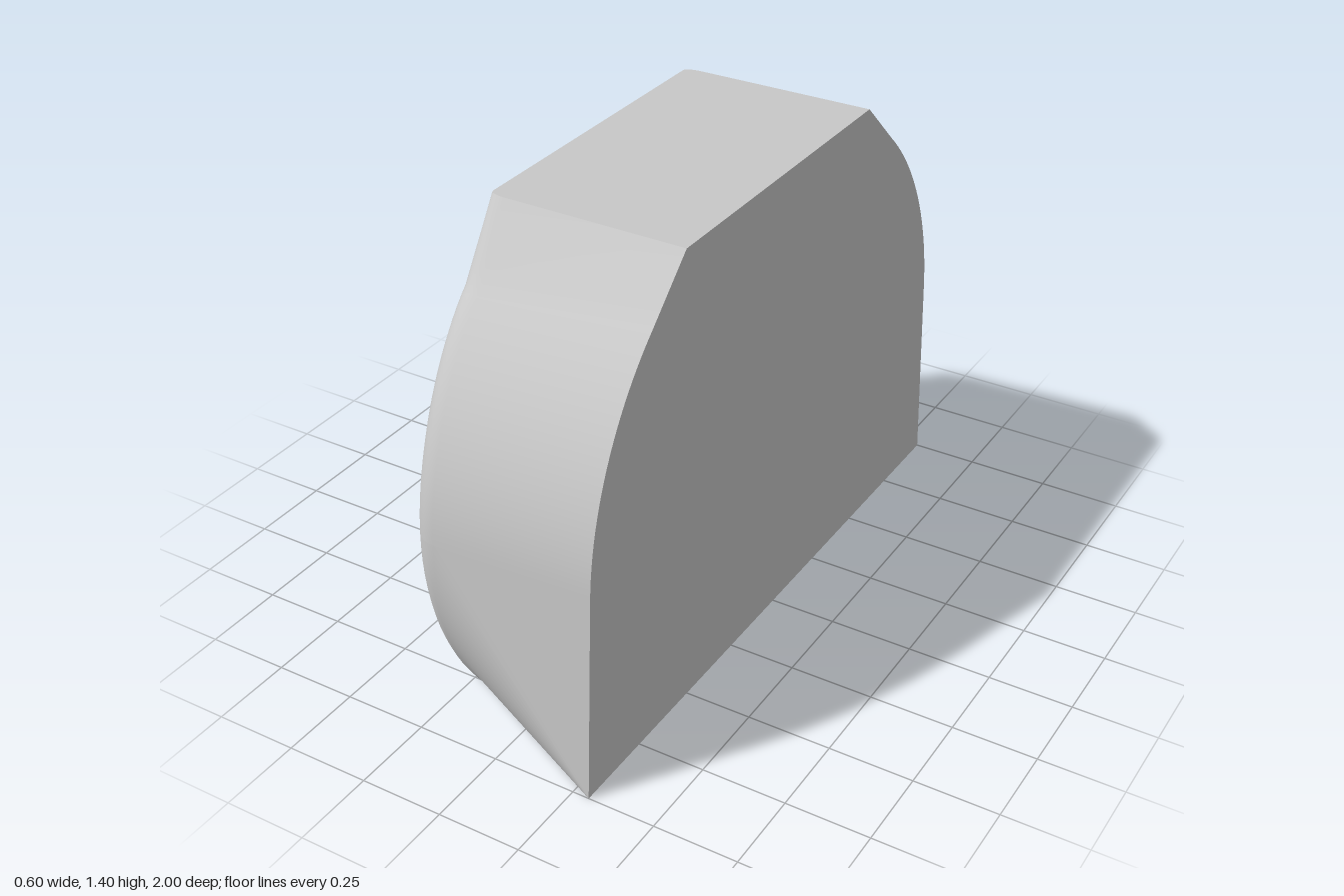
import * as THREE from 'three';

const H = 1.4;            // height
const X = 0.3;            // half thickness
const RAD = Math.PI / 180;
const KNEE = 3 * RAD, SHOULDER = 49 * RAD;
const lerp = THREE.MathUtils.lerp;

// Large flat face profile: straight foot, arc, straight shoulder (returns [z, y])
const outerArc = (a) => [0.067 + 0.9 * Math.cos(a), 0.573 + 0.9 * Math.sin(a)];

// Rounded face profile: one arc running down to the base, inset by s
function innerArc(a, s) {
  const r = 0.885 - s;
  return [0.064 + r * Math.cos(a), 0.55 + r * Math.sin(a)];
}
const baseAngle = (s) => -Math.asin(0.55 / (0.885 - s));

// The far face leans slightly
const faceX = (y) => -X + 0.013 * (1 - y / H);

// Levels from base to top: each gives the outer point and the inner point at inset s
function makeLevels() {
  const levels = [];
  const FAN = 14, ARC = 22, TOP = 5;
  for (let i = 0; i <= FAN; i++) {
    levels.push({
      outer: [1, 0], size: 0.1, width: 0.09,
      inner: (s) => innerArc(lerp(baseAngle(s), KNEE, i / FAN), s),
    });
  }
  for (let i = 0; i <= ARC; i++) {
    const a = lerp(KNEE, SHOULDER, i / ARC);
    const t = THREE.MathUtils.smoothstep(a / RAD, 15, 55);
    levels.push({
      outer: outerArc(a), size: lerp(0.1, 0.045, t), width: lerp(0.09, 0.07, t),
      inner: (s) => innerArc(a, s),
    });
  }
  const last = levels[levels.length - 1];
  for (let i = 1; i <= TOP; i++) {
    const t = i / TOP;
    const mix = (p, z) => [lerp(p[0], z, t), lerp(p[1], H, t)];
    levels.push({
      outer: mix(last.outer, 0.5), size: lerp(last.size, 0.02, t), width: lerp(last.width, 0.05, t),
      inner: (s) => mix(innerArc(SHOULDER, s), 0.497 - s),
    });
  }
  return levels;
}

// Rows of points across the side: flat face edge, then the rounded edge
function makeRows() {
  const STEPS = 8;
  return makeLevels().map(({ outer, inner, size, width }) => {
    const row = [new THREE.Vector3(X, outer[1], outer[0])];
    for (let j = 0; j <= STEPS; j++) {
      const q = (j / STEPS) * Math.PI / 2;
      const [z, y] = inner(size * (1 - Math.cos(q)));
      row.push(new THREE.Vector3(faceX(y) + width * (1 - Math.sin(q)), y, z));
    }
    return row;
  });
}

const mirror = (p) => new THREE.Vector3(p.x, p.y, -p.z);

// Smooth curved sheet through the rows
function sheet(rows, flip) {
  const n = rows[0].length, index = [];
  for (let i = 0; i < rows.length - 1; i++) {
    for (let j = 0; j < n - 1; j++) {
      const a = i * n + j, b = a + n, c = a + 1, d = b + 1;
      if (flip) index.push(a, c, b, b, c, d);
      else index.push(a, b, c, b, d, c);
    }
  }
  const g = new THREE.BufferGeometry().setFromPoints(rows.flat().map((p) => (flip ? mirror(p) : p)));
  g.setIndex(index);
  g.computeVertexNormals();
  return g;
}

// Flat convex cap from half an outline, mirrored in z, facing the given way
function cap(half, facing) {
  const loop = [...half, ...half.map(mirror).reverse()];
  const centre = loop.reduce((s, p) => s.add(p), new THREE.Vector3()).divideScalar(loop.length);
  const area = new THREE.Vector3();
  loop.forEach((p, i) => {
    const q = loop[(i + 1) % loop.length];
    area.add(p.clone().sub(centre).cross(q.clone().sub(centre)));
  });
  if (area.dot(facing) < 0) loop.reverse();
  const points = loop.flatMap((p, i) => [centre, p, loop[(i + 1) % loop.length]]);
  const normal = area.normalize().multiplyScalar(Math.sign(area.dot(facing)));
  const g = new THREE.BufferGeometry().setFromPoints(points);
  g.setAttribute('normal', new THREE.Float32BufferAttribute(points.flatMap(() => normal.toArray()), 3));
  return g;
}

export function createModel() {
  const group = new THREE.Group();
  group.name = 'roundedBlock';
  const grey = new THREE.MeshStandardMaterial({ color: 0xc8c8c8 });
  grey.name = 'light grey';
  const add = (name, geometry) => {
    const mesh = new THREE.Mesh(geometry, grey);
    mesh.name = name;
    group.add(mesh);
  };

  const rows = makeRows();
  const end = rows[0].length - 1;

  // Curved sides with their rounded edges
  add('frontSide', sheet(rows, false));
  add('backSide', sheet(rows, true));

  // Flat faces
  add('leftFace', cap(rows.map((r) => r[0]), new THREE.Vector3(1, 0, 0)));
  add('rightFace', cap(rows.map((r) => r[end]), new THREE.Vector3(-1, 0, 0)));
  add('base', cap(rows[0], new THREE.Vector3(0, -1, 0)));
  add('top', cap(rows[rows.length - 1], new THREE.Vector3(0, 1, 0)));
  return group;
}
